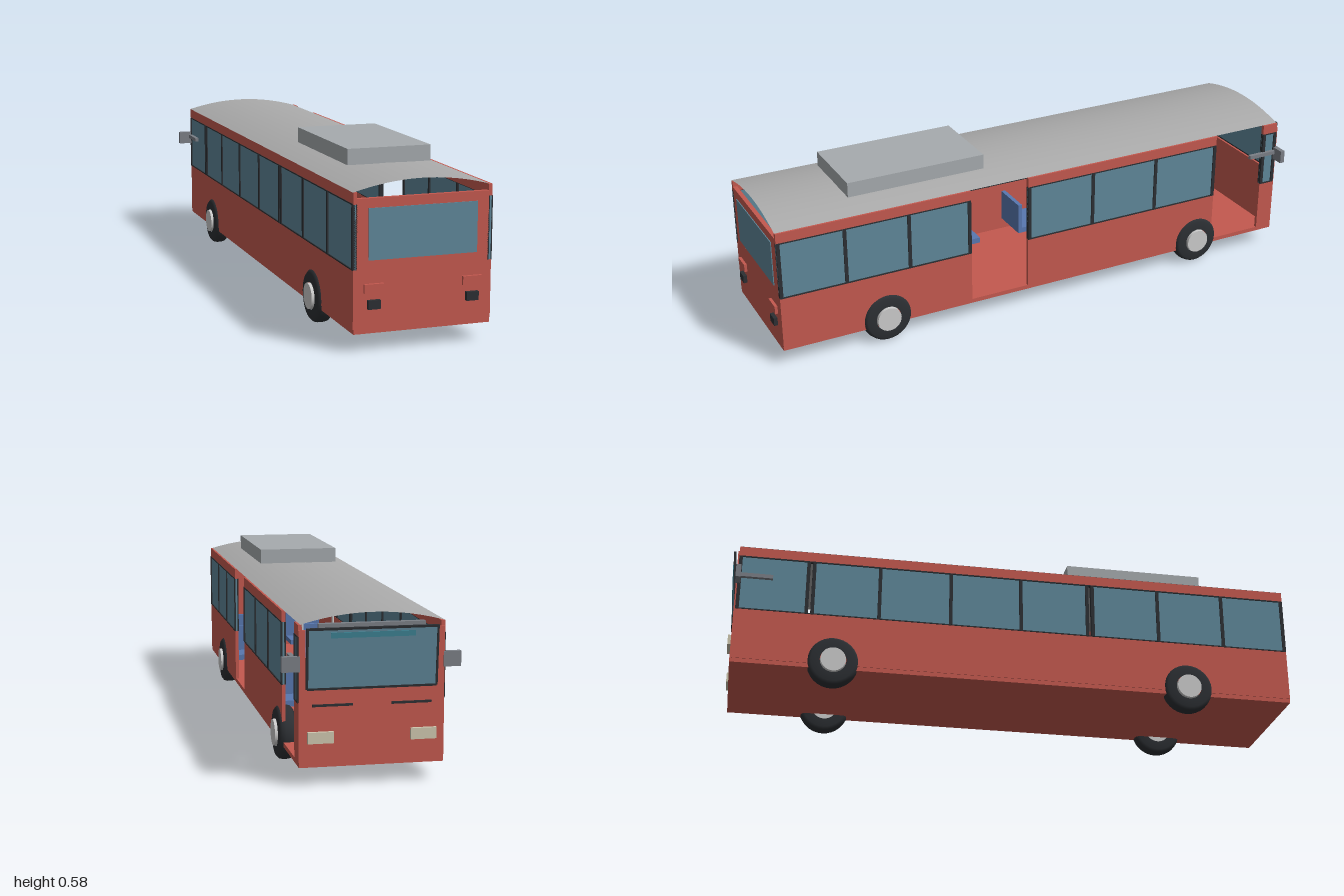
import * as THREE from 'three';

const mat = (color, side = THREE.FrontSide) => new THREE.MeshStandardMaterial({ color, side });
const RED = mat(0xc4594f), DARK = mat(0x2c2f33), GLASS = mat(0x5f8799, THREE.DoubleSide);
const GREY = mat(0x7b7f86), ROOF = mat(0xaaaaaa, THREE.DoubleSide), UNIT = mat(0xa6abae);
const METAL = mat(0xcccccc), SEAT = mat(0x5878b0), LAMP = mat(0xcfc8b0), SIGN = mat(0x3f8596);

export function createModel() {
  const bus = new THREE.Group();
  bus.name = 'bus';

  // Box given by its limits on each axis
  function box(name, material, x0, x1, y0, y1, z0, z1, parent = bus) {
    const geo = new THREE.BoxGeometry(Math.abs(x1 - x0), Math.abs(y1 - y0), Math.abs(z1 - z0));
    const mesh = new THREE.Mesh(geo, material);
    mesh.position.set((x0 + x1) / 2, (y0 + y1) / 2, (z0 + z1) / 2);
    mesh.name = name;
    parent.add(mesh);
    return mesh;
  }

  // Floor with skirt
  box('floor', RED, -0.225, 0.225, 0.06, 0.075, -0.98, 0.985);

  // Side wall section: lower panel, top rail, glazing and dark posts
  function wall(side, z0, z1, posts, slits = []) {
    const g = new THREE.Group();
    g.name = side > 0 ? 'leftWall' : 'rightWall';
    const inner = side * 0.215, outer = side * 0.227;
    box('lowerPanel', RED, inner, outer, 0.075, 0.26, z0, z1, g);
    box('topRail', RED, inner, outer, 0.46, 0.497, z0, z1, g);
    const edges = [z0, ...posts, z1];
    for (let i = 0; i < edges.length - 1; i++) {
      const a = edges[i] + (slits.includes(i) ? 0.02 : 0);
      box('sideWindow', GLASS, side * 0.219, side * 0.225, 0.26, 0.46, a, edges[i + 1], g);
      for (const z of [a, edges[i + 1]]) {
        const c = THREE.MathUtils.clamp(z, z0 + 0.006, z1 - 0.006);
        box('windowPost', DARK, side * 0.214, side * 0.229, 0.26, 0.46, c - 0.006, c + 0.006, g);
      }
    }
    for (const y of [0.26, 0.46]) {
      box('windowTrim', DARK, side * 0.216, side * 0.2285, y - 0.002, y + 0.002, z0, z1, g);
    }
    bus.add(g);
  }
  // Door openings are the gaps between the sections on +x
  wall(1, 0.29, 0.985, [0.52, 0.75]);
  wall(1, -0.71, 0.07, [-0.45, -0.19]);
  wall(1, -0.98, -0.92, []);
  wall(-1, -0.98, 0.985, [-0.74, -0.49, -0.24, 0.01, 0.25, 0.51, 0.75], [1, 5]);

  // Arched roof sheet
  const roofGeo = new THREE.PlaneGeometry(0.448, 1.965, 20, 1).rotateX(-Math.PI / 2);
  const p = roofGeo.attributes.position;
  for (let i = 0; i < p.count; i++) {
    const t = p.getX(i) / 0.224;
    p.setY(i, 0.497 + 0.032 * (1 - t * t));
  }
  roofGeo.computeVertexNormals();
  const roof = new THREE.Mesh(roofGeo, ROOF);
  roof.name = 'roof';
  roof.position.set(-0.004, 0, 0.0025);
  bus.add(roof);
  box('roofUnit', UNIT, -0.142, 0.142, 0.528, 0.58, 0.2, 0.7);

  // +z end panel, window and lamps
  box('endPanel', RED, -0.216, 0.216, 0.06, 0.477, 0.97, 0.985);
  box('endWindow', GLASS, -0.178, 0.178, 0.287, 0.447, 0.975, 0.988);
  for (const s of [-1, 1]) {
    box('upperLamp', RED, s * 0.13, s * 0.193, 0.187, 0.215, 0.98, 0.995);
    box('lowerLamp', DARK, s * 0.142, s * 0.182, 0.137, 0.165, 0.98, 0.998);
  }

  // -z end panel, leaning windscreen and destination sign
  box('noseTop', RED, -0.225, 0.225, 0.06, 0.3, -0.985, -0.97);
  const screen = new THREE.Group();
  screen.name = 'windscreen';
  screen.position.set(0, 0.3, -0.982);
  screen.rotation.x = -0.075;
  box('glass', GLASS, -0.197, 0.197, 0, 0.186, -0.003, 0.003, screen);
  for (const s of [-1, 1]) box('screenPost', DARK, s * 0.197, s * 0.204, 0, 0.188, -0.004, 0.004, screen);
  for (const y of [0, 0.184]) box('screenTrim', DARK, -0.2, 0.2, y - 0.003, y + 0.004, -0.004, 0.004, screen);
  box('signDisplay', SIGN, -0.13, 0.13, 0.157, 0.174, -0.006, -0.002, screen);
  bus.add(screen);
  box('signHousing', GREY, -0.165, 0.165, 0.452, 0.498, -0.985, -0.965);
  for (const s of [-1, 1]) {
    box('cornerPost', RED, s * 0.204, s * 0.225, 0.3, 0.48, -0.985, -0.975);
    box('headlamp', LAMP, s * 0.12, s * 0.2, 0.135, 0.17, -0.996, -0.98);
    box('grilleSlot', DARK, s * 0.06, s * 0.185, 0.247, 0.254, -0.99, -0.98);
    // Mirrors on side arms
    box('mirrorArm', GREY, s * 0.225, s * 0.239, 0.377, 0.391, -0.97, -0.86);
    box('mirror', GREY, s * 0.222, s * 0.277, 0.355, 0.402, -0.987, -0.97);
  }

  // Wheels: rounded tyre profile and a raised hub
  const tyre = [[0.045, -0.028], [0.076, -0.028], [0.085, -0.02], [0.088, -0.008],
    [0.088, 0.008], [0.085, 0.02], [0.076, 0.028], [0.045, 0.028]];
  const tyreGeo = new THREE.LatheGeometry(tyre.map(([r, h]) => new THREE.Vector2(r, h)), 32);
  const hubGeo = new THREE.CylinderGeometry(0.043, 0.046, 0.066, 28);
  for (const z of [0.61, -0.64]) for (const s of [-1, 1]) {
    const wheel = new THREE.Group();
    wheel.name = 'wheel';
    wheel.add(new THREE.Mesh(tyreGeo, DARK), new THREE.Mesh(hubGeo, METAL));
    wheel.children[0].name = 'tyre';
    wheel.children[1].name = 'hub';
    wheel.children[1].position.y = 0.004;
    wheel.rotation.z = -s * Math.PI / 2;
    wheel.position.set(s * 0.208, 0.089, z);
    bus.add(wheel);
  }

  // Passenger seats, facing -z
  function seat(x0, x1, z) {
    const g = new THREE.Group();
    g.name = 'seat';
    box('cushion', SEAT, x0, x1, 0.125, 0.145, z - 0.06, z + 0.06, g);
    box('backrest', SEAT, x0, x1, 0.145, 0.24, z + 0.045, z + 0.06, g);
    bus.add(g);
  }
  for (const z of [0.74, 0.46, 0.18, -0.1, -0.38]) seat(-0.2, -0.06, z);
  for (const z of [0.74, 0.46, -0.38]) seat(0.08, 0.2, z);

  // Grab poles
  for (const z of [-0.11, -0.63]) {
    const pole = new THREE.Mesh(new THREE.CylinderGeometry(0.004, 0.004, 0.41, 10), METAL);
    pole.name = 'grabPole';
    pole.position.set(0.045, 0.275, z);
    bus.add(pole);
  }
  return bus;
}
